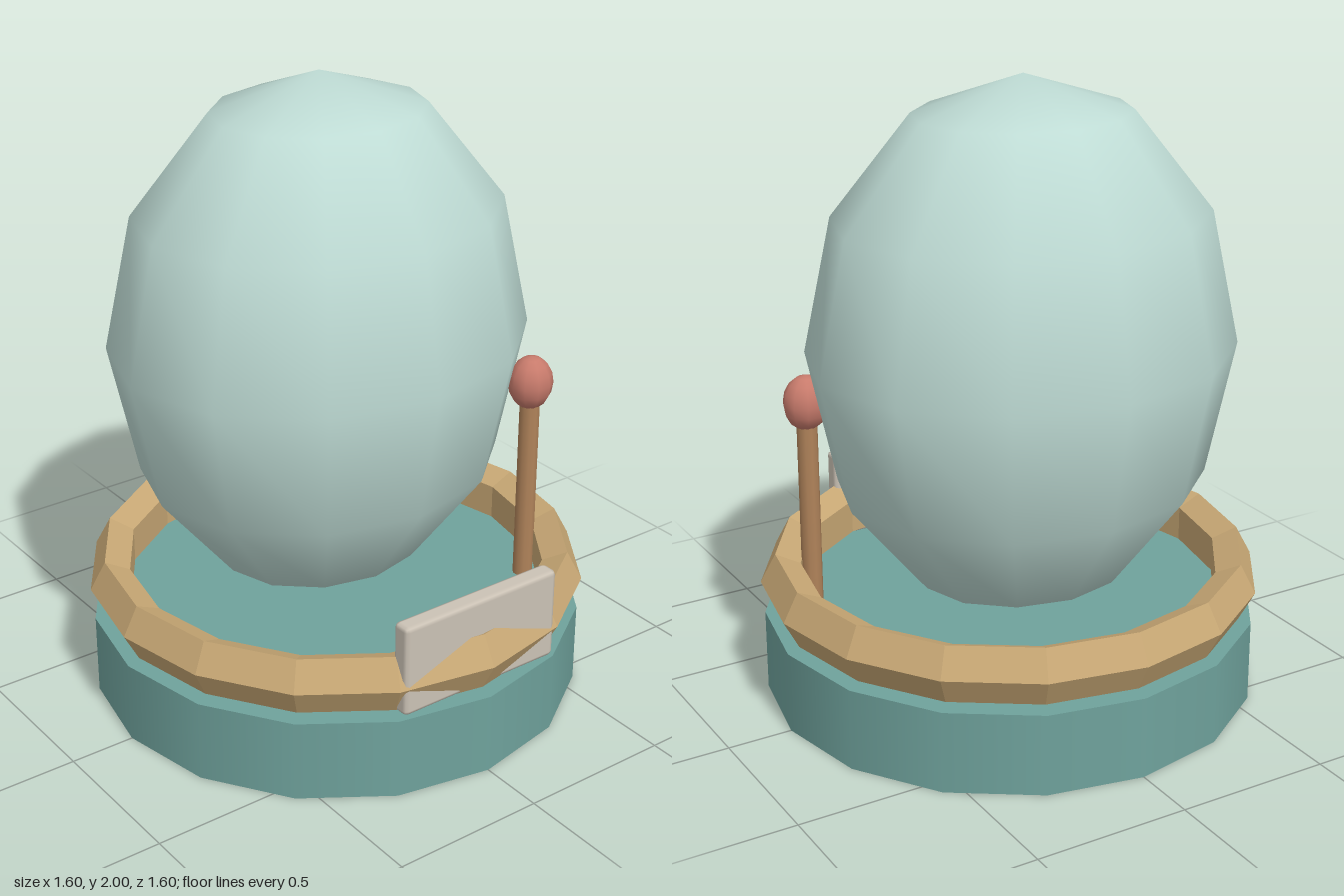
import * as THREE from 'three';
import { RoundedBoxGeometry } from 'three/addons/geometries/RoundedBoxGeometry.js';

const material = (name, color, flatShading = false) => {
  const m = new THREE.MeshStandardMaterial({ color, flatShading });
  m.name = name;
  return m;
};

export function createModel() {
  const model = new THREE.Group();
  model.name = 'eggOnStand';

  const teal = material('teal', 0x6fa29c);
  const paleGreen = material('paleGreen', 0xbedbd4);
  const tan = material('tan', 0xc8a875, true);
  const stone = material('stone', 0xcbc2b5);
  const wood = material('wood', 0xb0835a);
  const coral = material('coral', 0xc87b6c);

  const add = (name, geometry, mat, x, y, z) => {
    const mesh = new THREE.Mesh(geometry, mat);
    mesh.name = name;
    mesh.position.set(x, y, z);
    model.add(mesh);
    return mesh;
  };

  // Sixteen-sided drum
  add('base', new THREE.CylinderGeometry(0.79, 0.79, 0.265, 16), teal, 0, 0.1325, 0);

  // Faceted rim floating just above the drum, stretched in height
  const rim = new THREE.TorusGeometry(0.729, 0.071, 5, 16);
  rim.rotateX(-Math.PI / 2);
  rim.scale(1, 1.37, 1);
  add('rim', rim, tan, 0, 0.373, 0);

  // Large low-poly egg, set slightly to the back
  const egg = new THREE.SphereGeometry(1, 12, 6);
  egg.scale(0.69, 0.85, 0.6);
  add('egg', egg, paleGreen, 0, 1.15, -0.08);

  // Name plate crossing the front of the rim
  add('plate', new RoundedBoxGeometry(0.58, 0.3, 0.062, 1, 0.015), stone, 0, 0.43, 0.711);

  // Lever with its knob
  add('leverStick', new THREE.CylinderGeometry(0.033, 0.033, 0.68, 10), wood, 0.57, 0.56, 0.28);
  const knob = new THREE.SphereGeometry(1, 10, 8);
  knob.scale(0.075, 0.09, 0.07);
  add('leverKnob', knob, coral, 0.57, 0.96, 0.28);

  return model;
}
